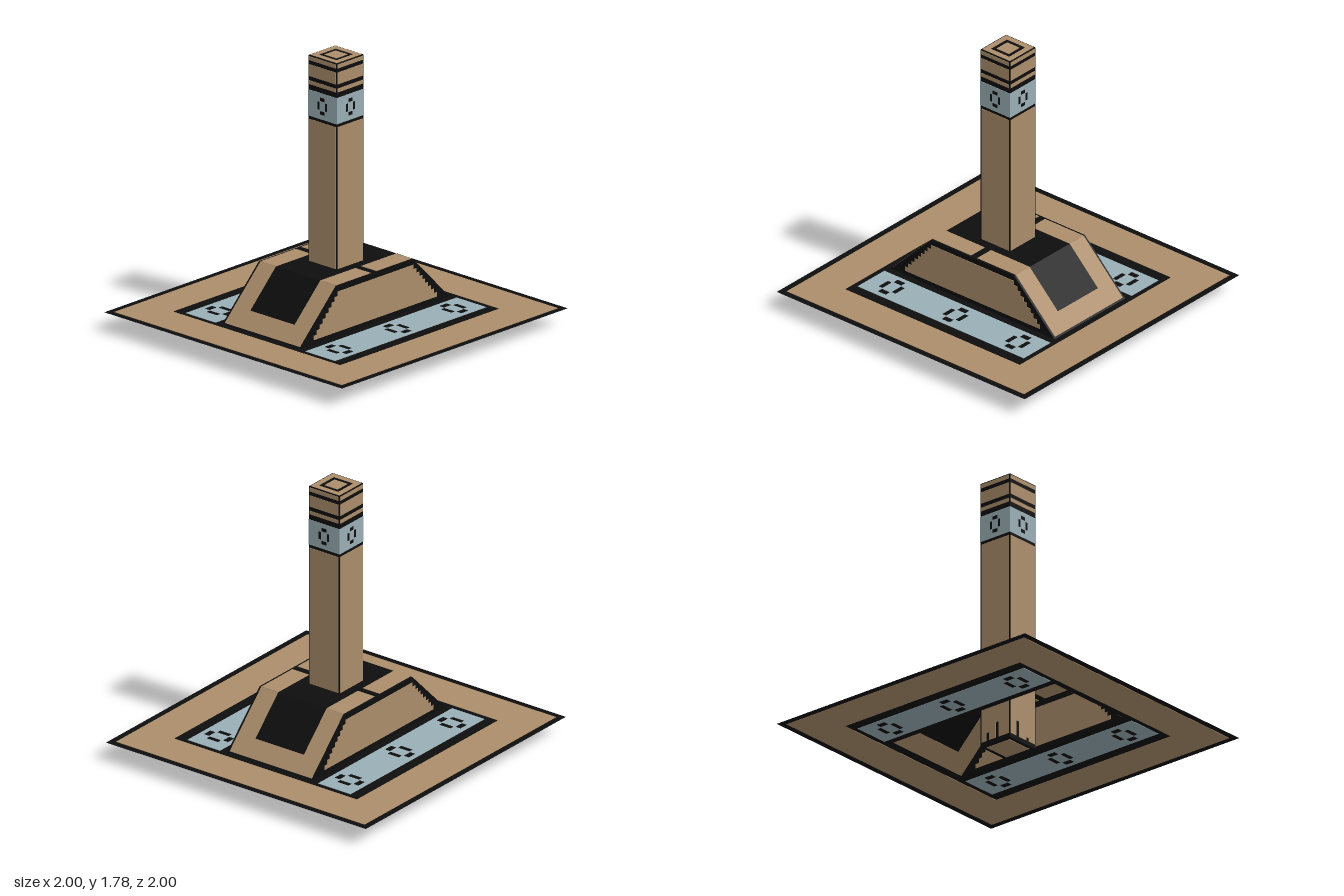
import * as THREE from 'three';

const mat = (name, color, side = THREE.FrontSide) => new THREE.MeshStandardMaterial({ name, color, side });

export function createModel() {
  const model = new THREE.Group();
  model.name = 'pillarMonument';
  const tan = mat('tan stone', 0xab8d6b);
  const blue = mat('pale blue', 0x99aeb5);
  const black = mat('black', 0x0d0d0d);
  const blackSheet = mat('black sheet', 0x0d0d0d, THREE.DoubleSide);

  const poly = pts => new THREE.Shape(pts.map(p => new THREE.Vector2(...p)));
  const rectPts = (x0, y0, x1, y1) => [[x0, y0], [x1, y0], [x1, y1], [x0, y1]];
  const rect = (...r) => poly(rectPts(...r));
  const withHole = (shape, hole) => { shape.holes.push(hole); return shape; };

  const add = (parent, name, geo, material) => {
    const m = new THREE.Mesh(geo, material);
    m.name = name;
    parent.add(m);
    return m;
  };
  // Flat sheet, and a thin plate straddling it so both sides show the pattern
  const sheet = (parent, name, shape) => add(parent, name, new THREE.ShapeGeometry(shape), blackSheet);
  const plate = (parent, name, shape, material, t = 0.005) => {
    const geo = new THREE.ExtrudeGeometry(shape, { depth: t, bevelEnabled: false });
    return add(parent, name, geo.translate(0, 0, -t / 2), material);
  };
  const frame = (name, x, y, z, rx = 0, ry = 0) => {
    const g = new THREE.Group();
    g.name = name;
    g.position.set(x, y, z);
    g.rotation.set(rx, ry, 0, 'YXZ');
    model.add(g);
    return g;
  };
  // Four dashes arranged as a small ring
  const emblem = (parent, cx, cy, s) => {
    for (const d of [-1, 1]) {
      plate(parent, 'emblemDash', rect(cx - 0.03 * s, cy + d * 0.073 * s - 0.018 * s,
        cx + 0.03 * s, cy + d * 0.073 * s + 0.018 * s), black, 0.009);
      plate(parent, 'emblemBar', rect(cx + d * 0.053 * s - 0.014 * s, cy - 0.042 * s,
        cx + d * 0.053 * s + 0.014 * s, cy + 0.042 * s), black, 0.009);
    }
  };

  const Y0 = 0.115, H = 0.325, BX = 0.66, TX = 0.335, BZ = 0.33;

  // Flat ground slab, open under the plinth
  const slab = frame('groundSlab', 0, Y0, 0, -Math.PI / 2);
  sheet(slab, 'slabSheet', withHole(rect(-1, -1, 1, 1), rect(-BX, -BZ, BX, BZ)));
  plate(slab, 'slabBorder', withHole(rect(-0.957, -0.957, 0.957, 0.957), rect(-0.705, -0.705, 0.705, 0.705)), tan);
  for (const s of [-1, 1]) {
    plate(slab, 'blueStrip', rect(-0.67, s * 0.503 - 0.125, 0.67, s * 0.503 + 0.125), blue);
    for (const x of [-0.503, 0.012, 0.515]) emblem(slab, x, s * 0.503, 1);
  }

  // Plinth front and back walls with stepped panels
  const STEPS = 9;
  const right = [];
  for (let i = 0; i < STEPS; i++) {
    const x = 0.545 - i * 0.0262;
    right.push([x, 0.03 + i * 0.0289], [x, 0.03 + (i + 1) * 0.0289]);
  }
  const stepped = [...right, ...right.map(([x, y]) => [-x, y]).reverse()];
  for (const s of [1, -1]) {
    const wall = frame('plinthWall', 0, Y0, s * BZ, 0, s > 0 ? 0 : Math.PI);
    sheet(wall, 'wallSheet', poly([[-BX, 0], [BX, 0], [TX, H], [-TX, H]]));
    plate(wall, 'wallPanel', poly(stepped), tan);
  }

  // Plinth sloping ends with a dark inset
  const L = H * Math.SQRT2;
  for (const s of [1, -1]) {
    const slope = frame('plinthSlope', s * BX, Y0, 0, -Math.PI / 4, s * Math.PI / 2);
    sheet(slope, 'slopeSheet', rect(-BZ, 0, BZ, L));
    plate(slope, 'slopePanel', poly([[-0.316, 0.012], [0.316, 0.012], [0.316, L], [0.187, L],
      [0.187, 0.138], [-0.187, 0.138], [-0.187, L], [-0.316, L]]), tan);
  }

  // Plinth top
  const top = frame('plinthTop', 0, Y0 + H, 0, -Math.PI / 2);
  sheet(top, 'topSheet', withHole(rect(-TX, -BZ, TX, BZ), rect(-0.118, -0.118, 0.118, 0.118)));
  for (const sx of [-1, 1]) for (const sz of [-1, 1]) {
    plate(top, 'topPanel', rect(sx * 0.18 - 0.155, sz * 0.2515 - 0.0645,
      sx * 0.18 + 0.155, sz * 0.2515 + 0.0645), tan);
  }

  // Square pillar core
  const W = 0.118, PH = 1.772;
  add(model, 'pillarCore', new THREE.BoxGeometry(2 * W, PH, 2 * W).translate(0, PH / 2, 0), black);

  // Pillar faces: shaft, blue band and striped head
  const bands = [[1.585, 1.61], [1.637, 1.714], [1.74, 1.766]];
  for (let i = 0; i < 4; i++) {
    const a = i * Math.PI / 2;
    const face = frame('pillarFace', Math.sin(a) * W, 0, Math.cos(a) * W, 0, a);
    plate(face, 'shaftPanel', rect(-0.111, 0.13, 0.111, 1.36), tan);
    // Foot panels split by a dark groove, one with a notch
    const odd = i % 2;
    const g0 = odd ? -0.06 : 0.005, g1 = odd ? -0.035 : 0.028;
    const n = odd ? 0.045 : -0.06, nh = odd ? 0.05 : 0.08;
    const notch = [[n - 0.012, 0.027], [n - 0.012, nh], [n + 0.012, nh], [n + 0.012, 0.027]];
    const [l, r] = [[-0.111, g0], [g1, 0.111]].map(([a0, a1]) => poly([[a0, 0.027],
      ...(n > a0 && n < a1 ? notch : []), [a1, 0.027], [a1, 0.131], [a0, 0.131]]));
    plate(face, 'footPanel', l, tan);
    plate(face, 'footPanel', r, tan);
    plate(face, 'blueBand', rect(-0.12, 1.38, 0.12, 1.55), blue);
    emblem(face, 0, 1.466, 0.6);
    for (const [y0, y1] of bands) plate(face, 'headStripe', rect(-0.112, y0, 0.112, y1), tan);
  }

  // Pillar cap and underside
  const cap = frame('pillarCap', 0, PH, 0, -Math.PI / 2);
  plate(cap, 'capRing', withHole(rect(-0.111, -0.111, 0.111, 0.111), rect(-0.075, -0.075, 0.075, 0.075)), tan);
  plate(cap, 'capCentre', rect(-0.05, -0.05, 0.05, 0.05), tan);
  const foot = frame('pillarUnderside', 0, 0, 0, Math.PI / 2);
  plate(foot, 'undersidePanel', rect(-0.092, -0.092, 0.092, 0.092), tan);

  return model;
}
